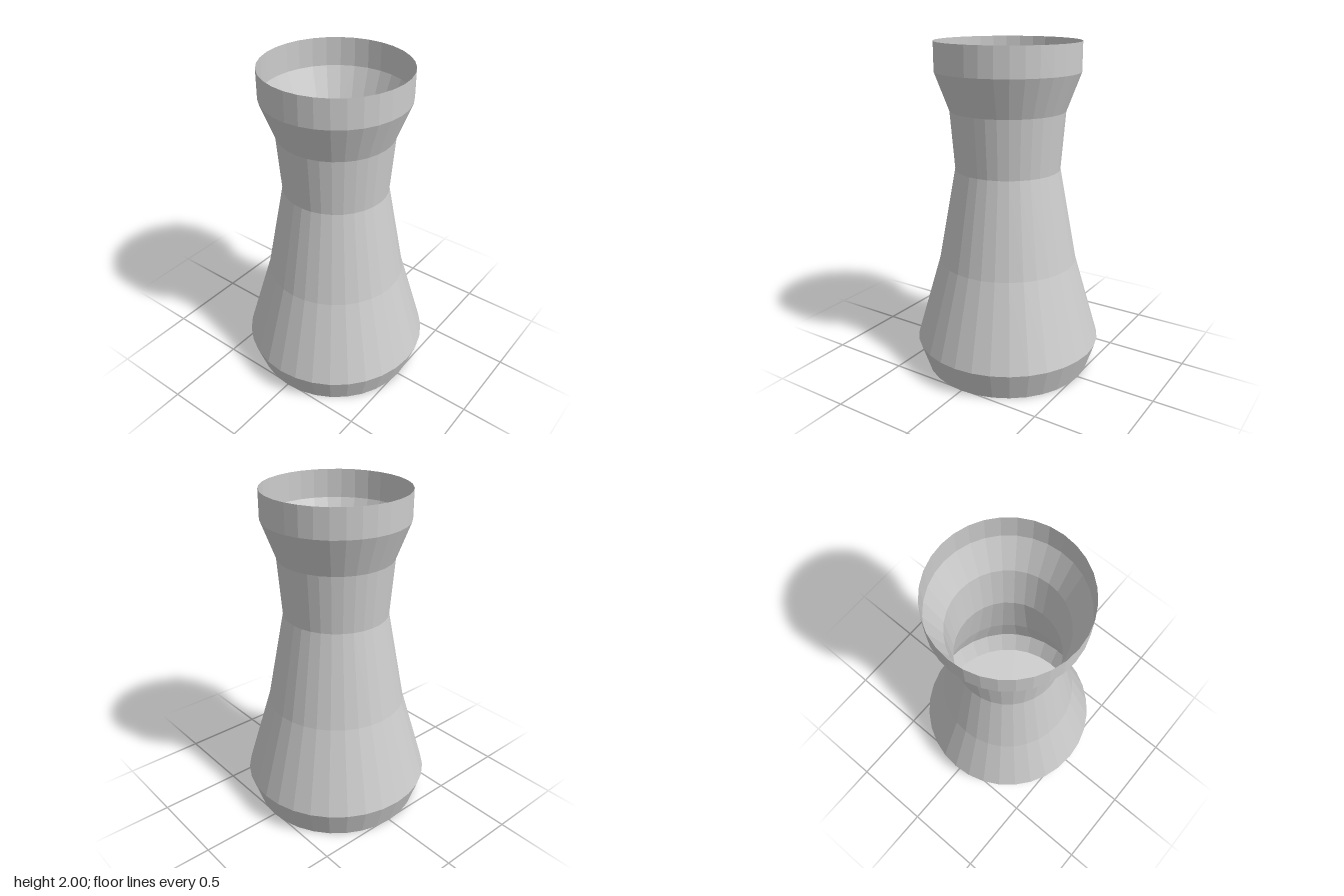
import * as THREE from 'three';

export function createModel() {
  const group = new THREE.Group();
  group.name = 'vase';

  const grey = new THREE.MeshStandardMaterial({
    color: 0xcccccc, flatShading: true, side: THREE.DoubleSide,
  });
  grey.name = 'light grey';

  const sides = 32;
  const addLathe = (name, points) => {
    const profile = points.map(([r, y]) => new THREE.Vector2(r, y));
    const mesh = new THREE.Mesh(new THREE.LatheGeometry(profile, sides), grey);
    mesh.name = name;
    group.add(mesh);
  };

  // Flat base with a pinhole at its centre
  addLathe('base', [[0.005, 0], [0.512, 0]]);
  // Chamfered foot and tapering body
  addLathe('body', [[0.512, 0], [0.57, 0.175], [0.42, 0.69], [0.315, 1.257]]);
  // Narrow neck
  addLathe('neck', [[0.315, 1.257], [0.342, 1.605]]);
  // Flared, open, thin-walled mouth
  addLathe('rim', [[0.342, 1.605], [0.426, 1.83], [0.426, 2]]);

  return group;
}
